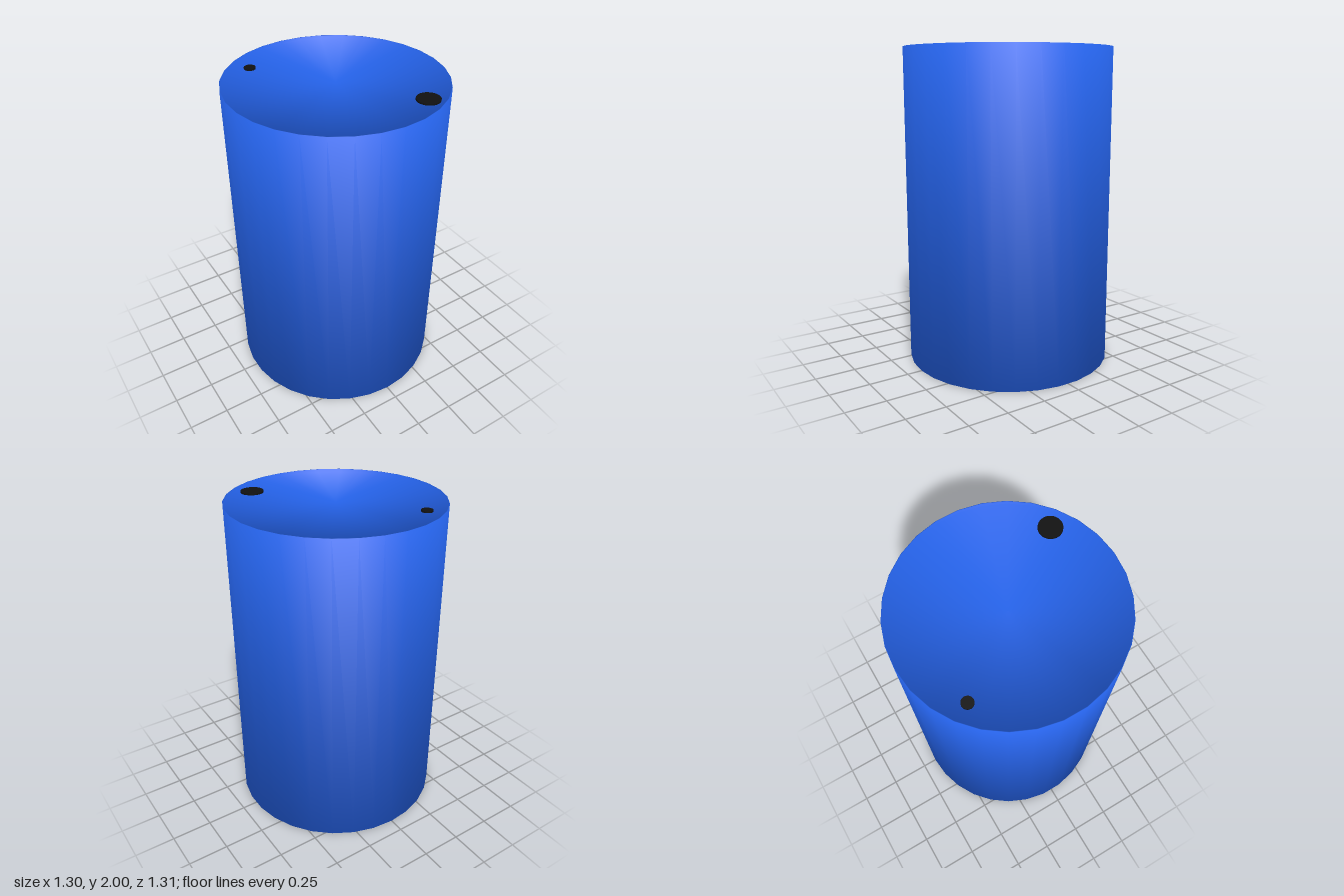
import * as THREE from 'three';

const SIDES = 30;
const RADIUS = 0.655;
const LID_Y = 1.98;

// Closed drum shell: [radius, height, normal angle in degrees (0 = outward, 90 = up)]
const PROFILE = [
  [0, 0, -90],                  // base centre
  [RADIUS, 0, -33],             // base edge
  [RADIUS, 2, 33],              // rim, outside
  [RADIUS - 0.004, 2, 147],     // rim, inside
  [RADIUS - 0.004, LID_Y, 147], // sunken lid edge
  [0, LID_Y, 90],               // lid centre
];

function drumGeometry() {
  const points = PROFILE.map(([r, y]) => new THREE.Vector2(r, y));
  const geometry = new THREE.LatheGeometry(points, SIDES);
  // Soft normals that blend across the base and lid edges
  const normal = geometry.attributes.normal;
  for (let i = 0; i < normal.count; i++) {
    const phi = (Math.floor(i / PROFILE.length) / SIDES) * Math.PI * 2;
    const tilt = THREE.MathUtils.degToRad(PROFILE[i % PROFILE.length][2]);
    normal.setXYZ(i, Math.cos(tilt) * Math.sin(phi), Math.sin(tilt), Math.cos(tilt) * Math.cos(phi));
  }
  return geometry;
}

export function createModel() {
  const group = new THREE.Group();
  group.name = 'drum';

  const blue = new THREE.MeshStandardMaterial({ color: 0x2563eb });
  const black = new THREE.MeshStandardMaterial({ color: 0x111111 });

  const body = new THREE.Mesh(drumGeometry(), blue);
  body.name = 'drumBody';
  group.add(body);

  // Bung caps lying on the lid
  const addBung = (name, radius, x, z) => {
    const height = 0.01;
    const bung = new THREE.Mesh(new THREE.CylinderGeometry(radius, radius, height, 32), black);
    bung.name = name;
    bung.position.set(x, LID_Y + height / 2, z);
    group.add(bung);
  };
  addBung('largeBung', 0.07, 0.31, 0.45);
  addBung('smallBung', 0.035, -0.33, -0.425);

  return group;
}
